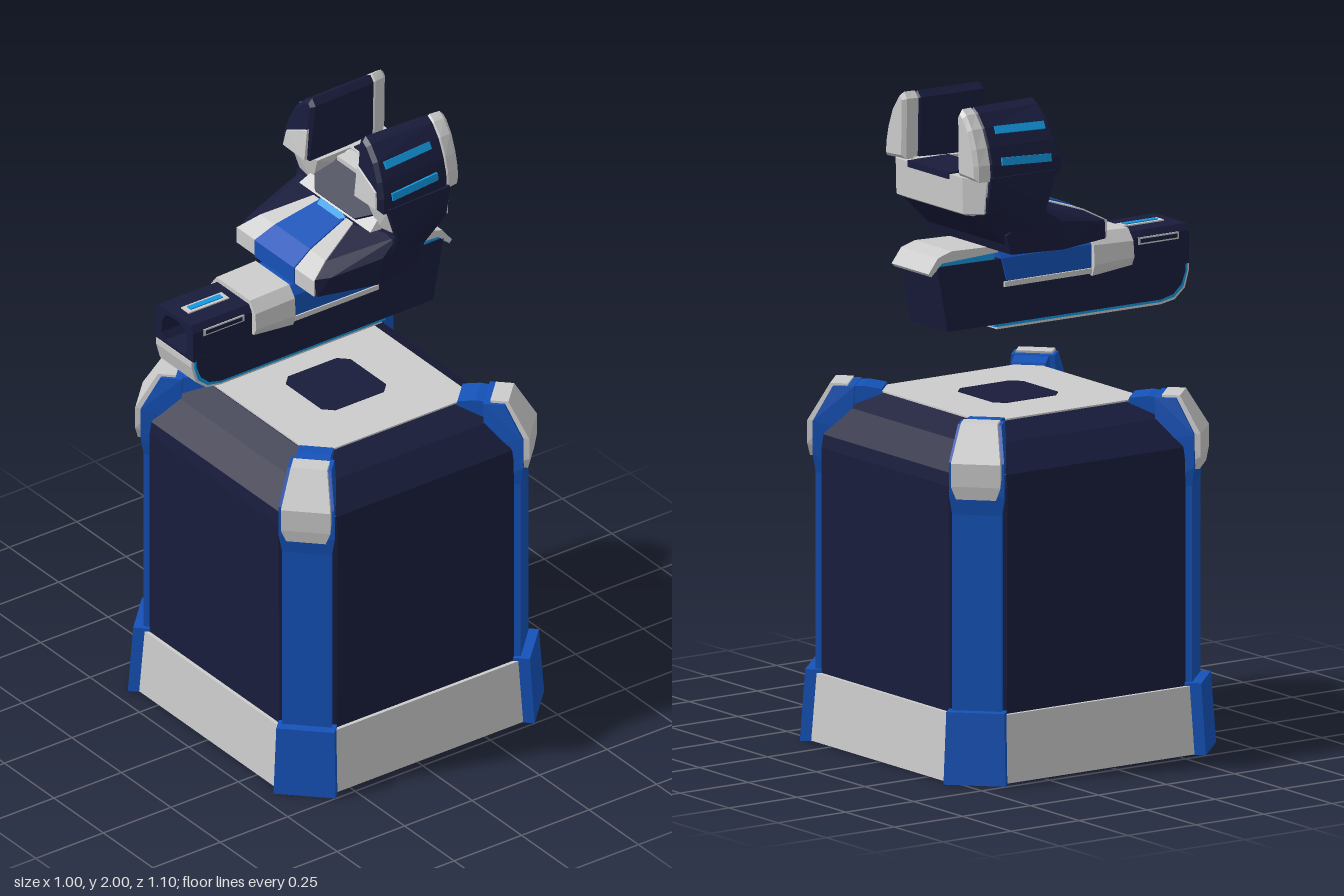
import * as THREE from 'three';
import { ConvexGeometry } from 'three/addons/geometries/ConvexGeometry.js';

const mat = (color) => new THREE.MeshStandardMaterial({ color, flatShading: true });
const DARK = mat(0x191c3c), BLUE = mat(0x1552b8), CYAN = mat(0x1298e0), GREY = mat(0xcccccc);

function add(parent, name, geo, material, x = 0, y = 0, z = 0) {
  const mesh = new THREE.Mesh(geo, material);
  mesh.name = name;
  mesh.position.set(x, y, z);
  parent.add(mesh);
  return mesh;
}

const box = (w, h, d) => new THREE.BoxGeometry(w, h, d);

// Convex block from [x, y, z] corners
const hull = (pts) => new ConvexGeometry(pts.map((p) => new THREE.Vector3(...p)));

// Convex block mirrored across x = 0
const symHull = (pts) => hull(pts.flatMap(([x, y, z]) => [[x, y, z], [-x, y, z]]));

// Square block with cut corners, from layers of [half width, y, corner distance]
const cutBlock = (layers) => symHull(layers.flatMap(([h, y, d]) => {
  const c = d * Math.SQRT2 - h;
  return [[h, y, c], [c, y, h], [h, y, -c], [c, y, -h]];
}));

const shapeOf = (pts) => new THREE.Shape(pts.map(([x, y]) => new THREE.Vector2(x, y)));

// Extrude an (x, y) shape along z
const slab = (shape, depth) => new THREE.ExtrudeGeometry(shape, { depth, bevelEnabled: false, curveSegments: 16 });

// Extrude a [z, y] side profile across x
const prism = (pts, width) => slab(shapeOf(pts), width).rotateY(-Math.PI / 2).translate(width / 2, 0, 0);

function buildPedestal() {
  const g = new THREE.Group();
  g.name = 'pedestal';
  g.position.z = -0.045;

  add(g, 'underside', cutBlock([[0.473, 0, 0.6], [0.473, 0.004, 0.6]]), DARK);
  add(g, 'skirt', cutBlock([[0.477, 0.003, 0.59], [0.462, 0.21, 0.58]]), GREY);
  add(g, 'pedestalBody', cutBlock([
    [0.45, 0.1, 0.55], [0.452, 0.9, 0.55], [0.445, 0.94, 0.545], [0.375, 1.02, 0.49], [0.297, 1.066, 0.41],
  ]), DARK);
  add(g, 'topPlate', cutBlock([[0.295, 1.06, 0.405], [0.295, 1.071, 0.405]]), GREY);
  const a = 0.12, b = 0.09;
  const inset = slab(shapeOf([[a, -b], [a, b], [b, a], [-b, a], [-a, b], [-a, -b], [-b, -a], [b, -a]]), 0.004);
  add(g, 'topInset', inset.rotateX(-Math.PI / 2), DARK, 0, 1.069, 0);

  // Corner posts, local +z pointing out along the diagonal
  for (let i = 0; i < 4; i++) {
    const p = new THREE.Group();
    p.name = 'cornerPost';
    p.rotation.y = Math.PI / 4 + i * Math.PI / 2;
    add(p, 'postFoot', symHull([[0.094, 0.001, 0.615], [0.094, 0.001, 0.5], [0.088, 0.22, 0.6], [0.088, 0.22, 0.5]]), BLUE);
    add(p, 'postShaft', box(0.15, 0.68, 0.12), BLUE, 0, 0.54, 0.51);
    add(p, 'capHolder', symHull([
      [0.075, 0.82, 0.57], [0.084, 0.88, 0.578], [0.084, 0.98, 0.578], [0.066, 1.085, 0.52],
      [0.066, 1.085, 0.455], [0.075, 0.82, 0.48], [0.075, 0.95, 0.46],
    ]), BLUE);
    add(p, 'claw', symHull([
      [0.052, 1.082, 0.47], [0.052, 1.086, 0.43], [0.052, 1.078, 0.375], [0.052, 1.05, 0.37], [0.052, 0.98, 0.47],
    ]), BLUE);
    add(p, 'postCap', symHull([
      [0.06, 0.87, 0.59], [0.075, 0.91, 0.596], [0.075, 0.98, 0.596], [0.055, 1.092, 0.53],
      [0.055, 1.092, 0.475], [0.06, 0.87, 0.52], [0.075, 0.98, 0.53],
    ]), GREY);
    g.add(p);
  }
  return g;
}

function buildLowerUnit() {
  const g = new THREE.Group();
  g.name = 'lowerUnit';

  // Hull and its layered keel
  add(g, 'lowerBody', prism([
    [0.54, 1.415], [0.54, 1.385], [0.525, 1.345], [0.495, 1.318], [0.45, 1.307],
    [-0.335, 1.31], [-0.374, 1.512], [0.4, 1.5], [0.4, 1.415],
  ], 0.19), DARK);
  const keel = (o, back) => [
    [0.54 + o, 1.405], [0.54 + o, 1.385], [0.525 + o, 1.34 - o / 2], [0.495 + o / 2, 1.316 - o], [0.45, 1.307 - o],
    [back, 1.309 - o], [back, 1.33], [0.44, 1.33], [0.5, 1.36], [0.51, 1.405],
  ];
  add(g, 'keelLight', prism(keel(0.008, -0.16), 0.187), CYAN);
  add(g, 'keelPlate', prism(keel(0.016, -0.15), 0.18), GREY);

  // Nose with an arched opening
  const nose = shapeOf([[-0.094, 1.405], [0.094, 1.405], [0.094, 1.505], [0.08, 1.526], [-0.08, 1.526], [-0.094, 1.505]]);
  const opening = shapeOf([[-0.05, 1.415], [-0.066, 1.435], [-0.064, 1.475], [-0.045, 1.503], [-0.02, 1.511],
    [0.02, 1.511], [0.045, 1.503], [0.064, 1.475], [0.066, 1.435], [0.05, 1.415]]);
  nose.holes.push(opening);
  add(g, 'nose', slab(nose, 0.253), DARK, 0, 0, 0.3);
  add(g, 'noseLens', slab(opening, 0.02), CYAN, 0, 0, 0.42);

  // Light slots on the top and sides of the nose
  add(g, 'topSlotFrame', box(0.04, 0.008, 0.15), GREY, 0, 1.526, 0.44);
  add(g, 'topSlotLight', box(0.02, 0.008, 0.12), CYAN, 0, 1.529, 0.44);
  for (const s of [-1, 1]) {
    add(g, 'sideSlotFrame', box(0.014, 0.022, 0.15), GREY, s * 0.089, 1.496, 0.44);
    add(g, 'sideSlot', box(0.006, 0.012, 0.135), DARK, s * 0.095, 1.496, 0.44);
    add(g, 'sideRail', box(0.01, 0.016, 0.32), GREY, s * 0.097, 1.43, 0.03);
  }

  // Sleeve, blue block and rear cover
  add(g, 'sleeve', symHull([
    [0.105, 1.43, 0.336], [0.117, 1.455, 0.336], [0.112, 1.505, 0.336], [0.085, 1.54, 0.336],
    [0.105, 1.415, 0.19], [0.117, 1.45, 0.19], [0.113, 1.51, 0.19], [0.085, 1.545, 0.19],
  ]), GREY);
  add(g, 'blueBlock', symHull([
    [0.1, 1.44, 0.19], [0.1, 1.44, -0.12], [0.1, 1.51, 0.19], [0.1, 1.51, -0.14], [0.08, 1.537, 0.19], [0.08, 1.537, -0.14],
  ]), BLUE);
  add(g, 'rearCoverLight', prism([[-0.37, 1.5], [-0.16, 1.505], [-0.16, 1.54], [-0.35, 1.54], [-0.392, 1.49]], 0.182), CYAN);
  add(g, 'rearCover', prism([
    [-0.355, 1.522], [-0.395, 1.485], [-0.405, 1.495], [-0.37, 1.54], [-0.32, 1.555], [-0.15, 1.55], [-0.15, 1.53],
  ].reverse(), 0.19), GREY);
  return g;
}

function buildUpperUnit() {
  const g = new THREE.Group();
  g.name = 'upperUnit';

  // Toe with grey and blue top panels
  add(g, 'toe', symHull([
    [0.2, 1.55, 0.17], [0.25, 1.55, -0.02], [0.22, 1.55, -0.19], [0.19, 1.605, 0.175], [0.215, 1.61, 0.13],
    [0.165, 1.637, 0.113], [0.256, 1.64, -0.03], [0.1, 1.683, -0.03], [0.24, 1.685, -0.1], [0.22, 1.61, -0.21],
  ]), DARK);
  add(g, 'toePanel', symHull([
    [0.195, 1.552, 0.18], [0.195, 1.605, 0.18], [0.165, 1.641, 0.115], [0.1, 1.688, -0.035], [0.1, 1.552, -0.035],
  ]), GREY);
  add(g, 'toeStripe', symHull([
    [0.1, 1.551, 0.184], [0.1, 1.608, 0.184], [0.088, 1.645, 0.116], [0.065, 1.692, -0.035], [0.065, 1.552, -0.035],
  ]), BLUE);
  add(g, 'toeLight', symHull([
    [0.07, 1.688, -0.03], [0.055, 1.676, -0.005], [0.055, 1.7, -0.03], [0.055, 1.66, -0.04],
  ]), CYAN);

  // Neck, grey collar and back shell
  add(g, 'neck', symHull([
    [0.24, 1.57, -0.05], [0.2, 1.57, -0.19], [0.252, 1.68, -0.09], [0.22, 1.68, -0.29], [0.17, 1.685, -0.32],
    [0.25, 1.74, -0.095], [0.24, 1.74, -0.285], [0.17, 1.74, -0.32],
  ]), DARK);
  add(g, 'collar', symHull([
    [0.18, 1.69, -0.04], [0.14, 1.79, -0.17], [0.14, 1.79, -0.2], [0.18, 1.68, -0.2],
  ]), GREY);
  const dish = slab(shapeOf([[-0.1, -0.075], [0.1, -0.075], [0.168, -0.015], [0.11, 0.05], [-0.11, 0.05], [-0.168, -0.015]]), 0.008);
  add(g, 'collarInset', dish, DARK, 0, 1.74, -0.104).rotation.x = -0.915;
  add(g, 'collarLip', symHull([
    [0.11, 1.785, -0.13], [0.11, 1.77, -0.13], [0, 1.803, -0.14], [0.11, 1.79, -0.19], [0, 1.803, -0.19], [0.11, 1.76, -0.19],
  ]), GREY);
  add(g, 'backShell', symHull([
    [0.17, 1.685, -0.332], [0.225, 1.69, -0.295], [0.2, 1.665, -0.27], [0.14, 1.665, -0.29],
    [0.17, 1.795, -0.335], [0.235, 1.795, -0.29], [0.235, 1.795, -0.18], [0.22, 1.7, -0.22],
  ]), GREY);
  add(g, 'backInset', box(0.21, 0.02, 0.15), DARK, 0, 1.79, -0.264);

  // Side wings and raised pods, mirrored
  const pod = [[0.12, 1.795], [0.255, 1.79], [0.252, 1.84], [0.235, 1.89], [0.205, 1.945], [0.165, 1.985], [0.135, 2.0], [0.115, 1.98]];
  const bevel = { bevelEnabled: true, bevelThickness: 0.012, bevelSize: 0.012, bevelOffset: -0.012, bevelSegments: 1 };
  for (const s of [-1, 1]) {
    const side = (pts) => pts.map(([x, ...rest]) => [s * x, ...rest]);
    add(g, 'wing', hull(side([
      [0.165, 1.69, -0.08], [0.245, 1.7, -0.085], [0.25, 1.79, -0.055], [0.115, 1.79, -0.06],
      [0.13, 1.69, -0.28], [0.22, 1.7, -0.28], [0.24, 1.8, -0.28], [0.11, 1.8, -0.3],
    ])), GREY);
    // Dark outer skin of the wing
    add(g, 'wingSkin', hull(side([
      [0.24, 1.69, -0.084], [0.255, 1.69, -0.084], [0.24, 1.8, -0.05], [0.257, 1.8, -0.05],
      [0.215, 1.69, -0.285], [0.23, 1.69, -0.285], [0.235, 1.8, -0.285], [0.25, 1.8, -0.285],
    ])), DARK);
    // Pods narrow towards the back and lean back at the front
    for (const [name, depth, z0, material] of [['pod', 0.24, -0.275, DARK], ['podBack', 0.035, -0.32, GREY]]) {
      const geo = new THREE.ExtrudeGeometry(shapeOf(side(pod)), { depth, ...bevel }).translate(0, 0, z0);
      const p = geo.attributes.position;
      for (let i = 0; i < p.count; i++) {
        const x = p.getX(i), z = p.getZ(i);
        const t = Math.max(0, -z - 0.03) / 0.3;
        p.setX(i, x + (s * 0.185 - x) * 0.3 * t ** 3);
        if (z > -0.1) p.setZ(i, z - (p.getY(i) - 1.79) * 0.1);
      }
      geo.computeVertexNormals();
      add(g, name, geo, material);
    }
    add(g, 'podFrontPlate', hull(side([
      [0.126, 1.8, -0.05], [0.24, 1.803, -0.05], [0.232, 1.86, -0.05], [0.126, 1.91, -0.05],
      [0.126, 1.8, -0.02], [0.235, 1.803, -0.02], [0.225, 1.855, -0.025], [0.126, 1.9, -0.03],
    ])), GREY);
    for (const [x, y, tilt] of [[0.208, 1.932, 0.5], [0.244, 1.842, 0.14]]) {
      const slot = add(g, 'podLight', box(0.016, 0.024, 0.175), CYAN, s * x, y, -0.155);
      slot.rotation.set(0.05, s * 0.045, s * tilt, 'ZYX');
    }
  }
  return g;
}

export function createModel() {
  const model = new THREE.Group();
  model.name = 'pedestalWithFloatingUnits';
  model.add(buildPedestal(), buildLowerUnit(), buildUpperUnit());
  return model;
}
